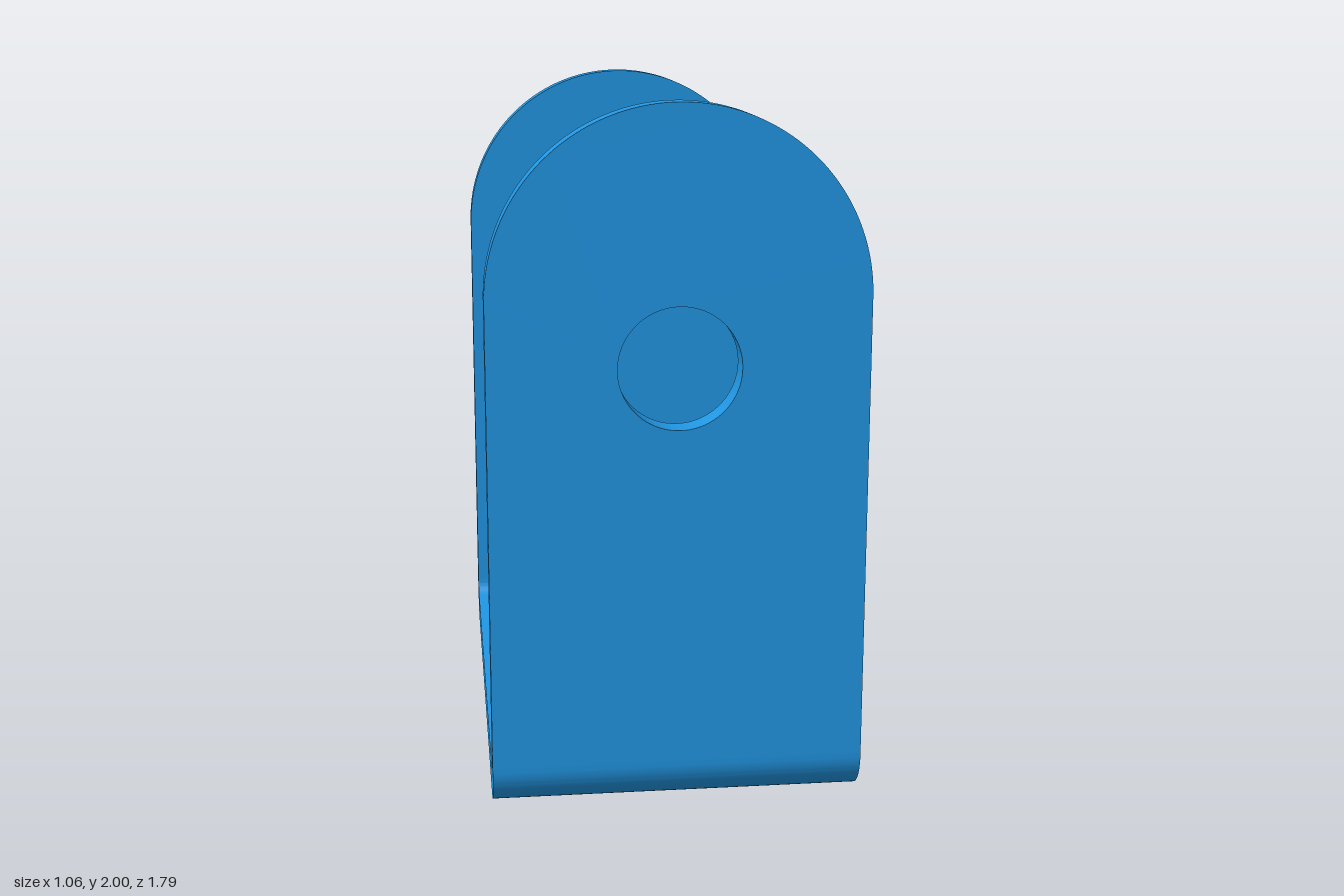
import * as THREE from 'three';
import { mergeGeometries, toCreasedNormals } from 'three/addons/utils/BufferGeometryUtils.js';

const HALF_W = 0.53;   // half width of the strap (x)
const HALF_D = 0.893;  // half depth over the outer faces (z)
const T = 0.085;       // sheet thickness
const R_OUT = 0.13;    // outer bend radius
const R_IN = R_OUT - T;
const SEAM = 0.14;     // height where the bent base meets the upright ears
const HOLE_Y = 1.28, HOLE_R = 0.172;

// Drops the hidden triangles lying on the plane where base and ears join
function openSeam(geometry) {
  const p = geometry.attributes.position;
  const kept = [];
  for (let i = 0; i < p.count; i += 3) {
    const onSeam = [0, 1, 2].every(k => Math.abs(p.getY(i + k) - SEAM) < 1e-5);
    if (onSeam) continue;
    for (let k = 0; k < 3; k++) kept.push(p.getX(i + k), p.getY(i + k), p.getZ(i + k));
  }
  const out = new THREE.BufferGeometry();
  out.setAttribute('position', new THREE.Float32BufferAttribute(kept, 3));
  return out;
}

// Floor with two rounded bends: a shallow U profile swept across the width
function baseGeometry() {
  const c = HALF_D - R_OUT, i = HALF_D - T, q = Math.PI / 2;
  const s = new THREE.Shape();
  s.moveTo(-HALF_D, SEAM);
  s.lineTo(-HALF_D, R_OUT);
  s.absarc(-c, R_OUT, R_OUT, 2 * q, 3 * q, false);
  s.lineTo(c, 0);
  s.absarc(c, R_OUT, R_OUT, -q, 0, false);
  s.lineTo(HALF_D, SEAM);
  s.lineTo(i, SEAM);
  s.lineTo(i, R_OUT);
  s.absarc(c, R_OUT, R_IN, 0, -q, true);
  s.lineTo(-c, T);
  s.absarc(-c, R_OUT, R_IN, 3 * q, 2 * q, true);
  s.lineTo(-i, SEAM);
  s.closePath();
  const g = new THREE.ExtrudeGeometry(s, { depth: HALF_W * 2, bevelEnabled: false, curveSegments: 12 });
  g.translate(0, 0, -HALF_W);
  g.rotateY(Math.PI / 2);
  return g;
}

// Upright plate with a half-round top and a pin hole
function earGeometry(z) {
  const s = new THREE.Shape();
  s.moveTo(-HALF_W, SEAM);
  s.lineTo(HALF_W, SEAM);
  s.absarc(0, 2 - HALF_W, HALF_W, 0, Math.PI, false);
  s.closePath();
  const hole = new THREE.Path();
  hole.absarc(0, HOLE_Y, HOLE_R, 0, Math.PI * 2, true);
  s.holes.push(hole);
  const g = new THREE.ExtrudeGeometry(s, { depth: T, bevelEnabled: false, curveSegments: 48 });
  g.translate(0, 0, z);
  return g;
}

export function createModel() {
  const group = new THREE.Group();
  group.name = 'clevisBracket';

  // One continuous bent sheet: floor, front ear and back ear
  const parts = [baseGeometry(), earGeometry(HALF_D - T), earGeometry(-HALF_D)];
  const geometry = toCreasedNormals(mergeGeometries(parts.map(openSeam)), 0.6);
  const bracket = new THREE.Mesh(geometry, new THREE.MeshStandardMaterial({ color: 0x2196e3 }));
  bracket.name = 'bentBracket';
  group.add(bracket);
  return group;
}
